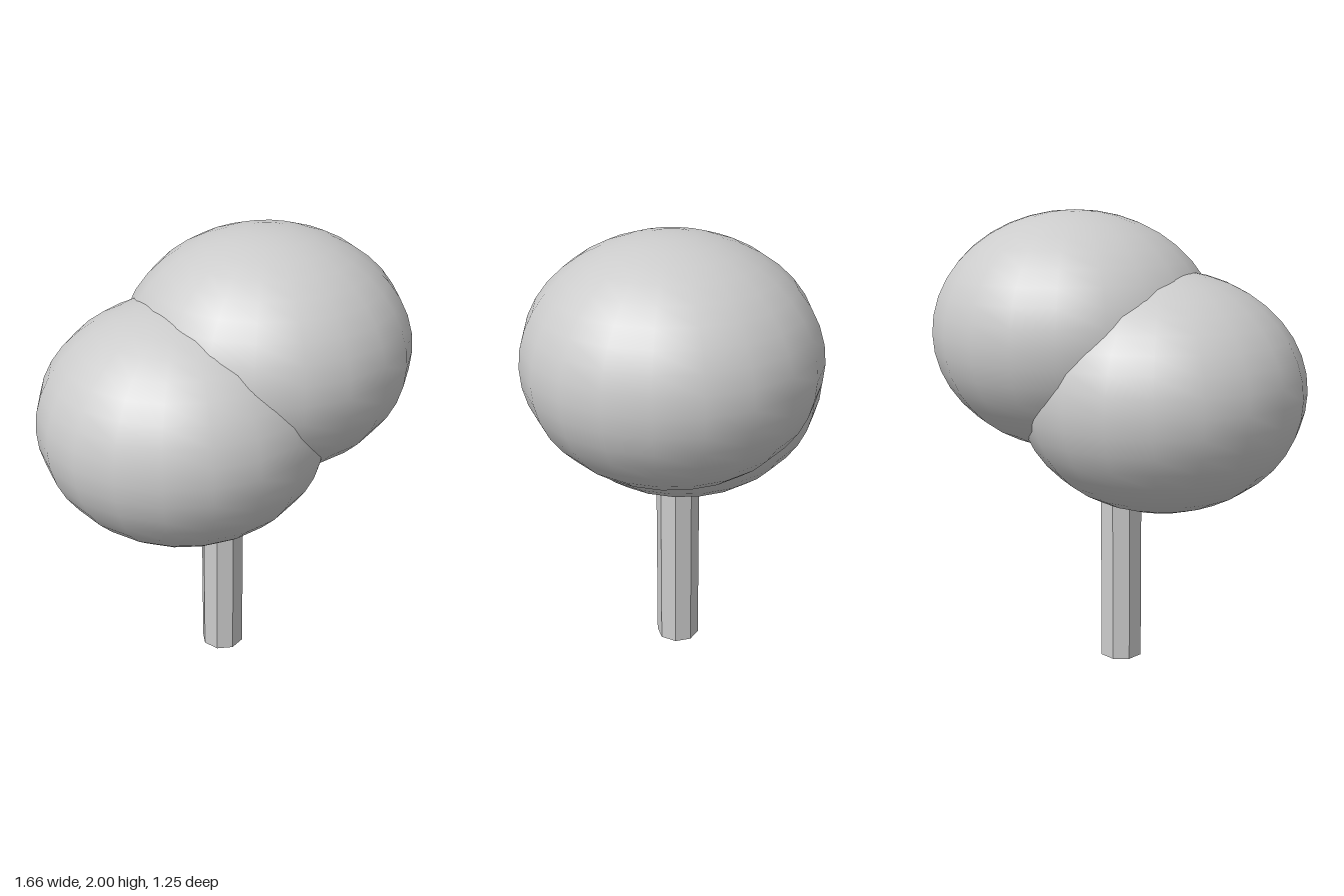
import * as THREE from 'three';

export function createModel() {
  const model = new THREE.Group();
  const smooth = new THREE.MeshStandardMaterial({ color: 0xcccccc });
  const faceted = new THREE.MeshStandardMaterial({ color: 0xcccccc, flatShading: true });

  // Octagonal trunk, its top buried in the lower crown
  const trunkHeight = 0.95;
  const trunk = new THREE.Mesh(new THREE.CylinderGeometry(0.097, 0.097, trunkHeight, 8), faceted);
  trunk.name = 'trunk';
  trunk.position.set(-0.015, trunkHeight / 2, 0);
  model.add(trunk);

  // Two overlapping flattened balls of foliage
  const crownGeometry = new THREE.SphereGeometry(1, 20, 20).scale(0.625, 0.52, 0.625);
  const addCrown = (name, x, y) => {
    const crown = new THREE.Mesh(crownGeometry, smooth);
    crown.name = name;
    crown.position.set(x, y, 0);
    model.add(crown);
  };
  addCrown('lowerCrown', -0.203, 1.236);
  addCrown('upperCrown', 0.203, 1.48);

  return model;
}
